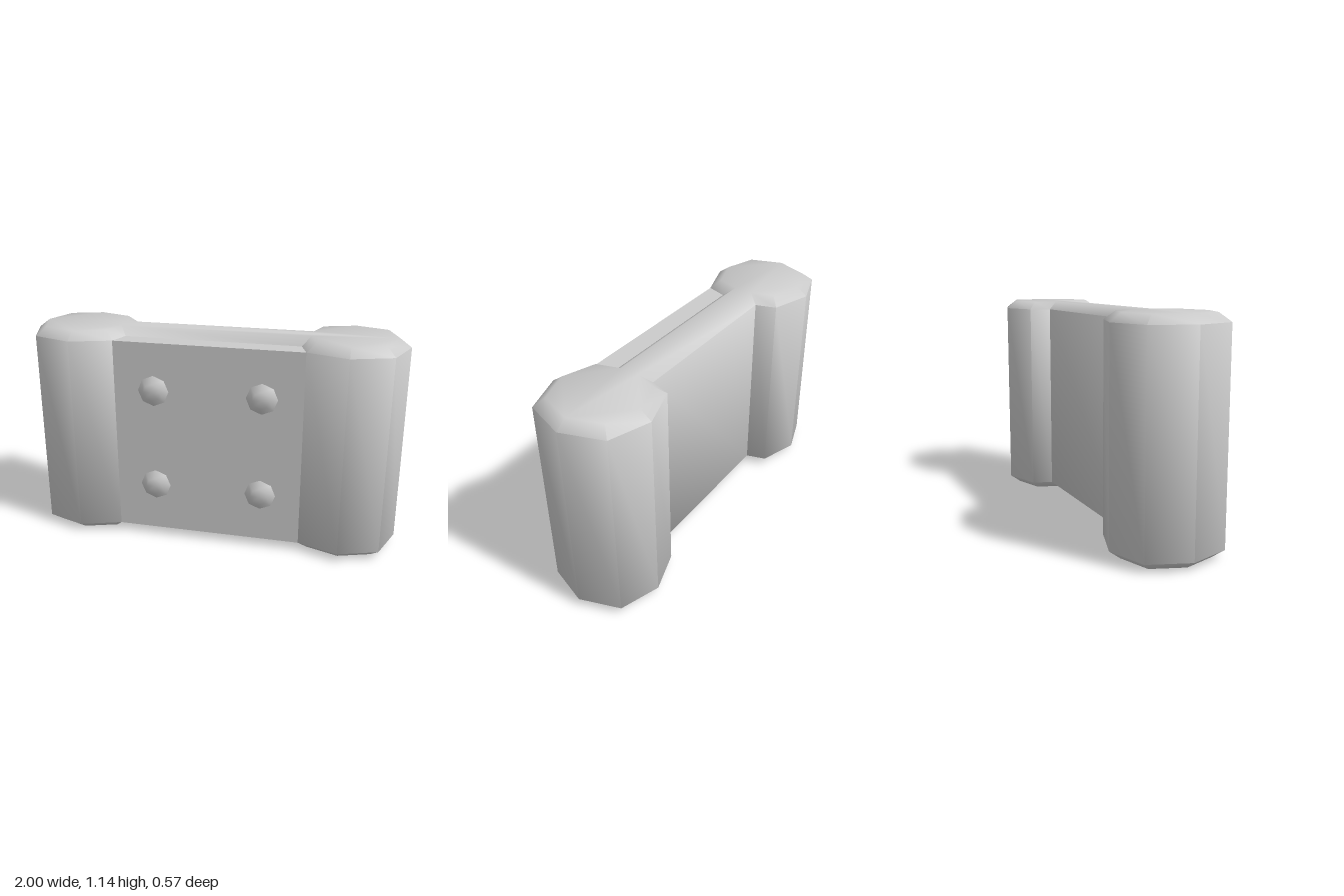
import * as THREE from 'three';
import { toCreasedNormals } from 'three/addons/utils/BufferGeometryUtils.js';

const HEIGHT = 1.14, BEVEL = 0.043, INSET = 0.055;
const material = new THREE.MeshStandardMaterial({ color: 0xcccccc });

function part(name, geometry, crease = 0.93) {
  const mesh = new THREE.Mesh(toCreasedNormals(geometry, crease), material);
  mesh.name = name;
  return mesh;
}

// Extrudes an [x, z] outline upward.
function extrudeUp(outline, options) {
  const shape = new THREE.Shape(outline.map(([x, z]) => new THREE.Vector2(x, -z)));
  return new THREE.ExtrudeGeometry(shape, options).rotateX(-Math.PI / 2).translate(0, BEVEL, 0);
}

export function createModel() {
  const group = new THREE.Group();
  group.name = 'bracket';

  // Two eight-sided posts joined by a thin web, with chamfered ends
  const quarter = [[0.465, 0.105], [0.5, 0.213], [0.714, 0.285], [0.925, 0.213]];
  const right = [...quarter, [1, 0], ...quarter.map(([x, z]) => [x, -z]).reverse()];
  const outline = [...right, ...right.map(([x, z]) => [-x, -z])];
  group.add(part('postsAndWeb', extrudeUp(outline, {
    depth: HEIGHT - 2 * BEVEL,
    bevelEnabled: true,
    bevelThickness: BEVEL,
    bevelSize: INSET,
    bevelOffset: -INSET,
    bevelSegments: 1,
  })));

  // Front plate filling the recess between the posts
  const plate = [[-0.465, 0.1], [0.465, 0.1], [0.5, 0.213], [-0.5, 0.213]];
  group.add(part('frontPlate', extrudeUp(plate, { depth: HEIGHT - 2 * BEVEL, bevelEnabled: false })));

  // Four domed bolt heads
  for (const x of [-0.287, 0.287]) {
    for (const y of [0.305, 0.84]) {
      const head = new THREE.CylinderGeometry(0.045, 0.085, 0.033, 8).rotateX(Math.PI / 2);
      const bolt = part('boltHead', head, 0.9);
      bolt.position.set(x, y, 0.2275);
      group.add(bolt);
    }
  }
  return group;
}
